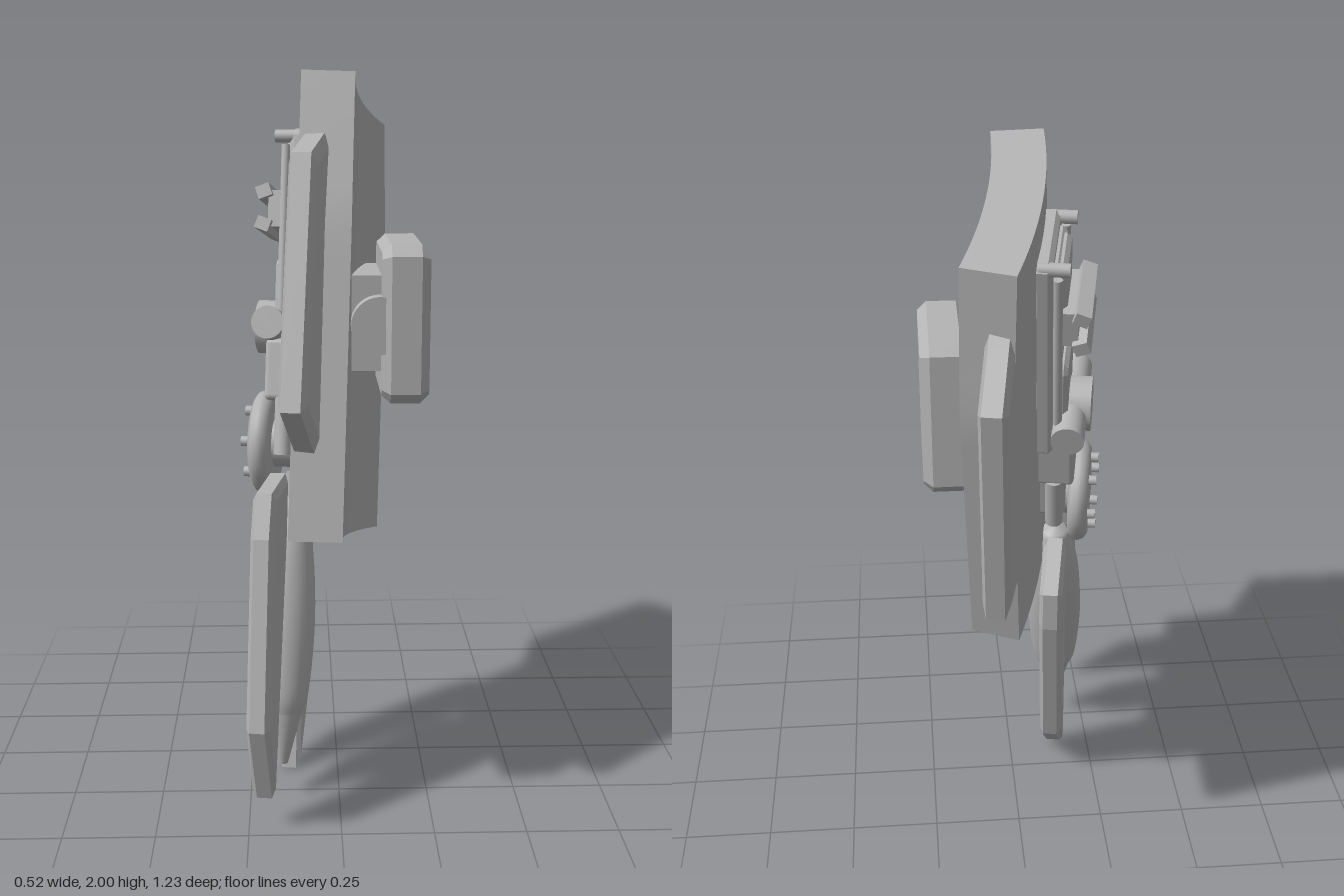
import * as THREE from 'three';
import { RoundedBoxGeometry } from 'three/addons/geometries/RoundedBoxGeometry.js';

const grey = new THREE.MeshStandardMaterial({ color: 0xb4b4b4 });
grey.name = 'grey';

function add(parent, name, geometry, x = 0, y = 0, z = 0) {
  const mesh = new THREE.Mesh(geometry, grey);
  mesh.name = name;
  mesh.position.set(x, y, z);
  parent.add(mesh);
  return mesh;
}

// Bevelled slab: outline in (z, y), filling x from xMin to xMax
function slab(points, xMin, xMax, size, thick) {
  const shape = new THREE.Shape(points.map(([z, y]) => new THREE.Vector2(z, y)));
  const geometry = new THREE.ExtrudeGeometry(shape, {
    depth: xMax - xMin - 2 * thick, bevelEnabled: true, bevelSegments: 1,
    bevelSize: size, bevelOffset: -size, bevelThickness: thick,
  });
  return geometry.rotateY(-Math.PI / 2).translate(xMax - thick, 0, 0);
}

// Rectangle outline with cut corners
function cutRect(w, h, c) {
  return [[-w + c, -h], [w - c, -h], [w, -h + c], [w, h - c],
    [w - c, h], [-w + c, h], [-w, h - c], [-w, -h + c]];
}

const cylX = (r, length, sides = 32) =>
  new THREE.CylinderGeometry(r, r, length, sides).rotateZ(Math.PI / 2);
const cylZ = (r, length, sides = 32) =>
  new THREE.CylinderGeometry(r, r, length, sides).rotateX(Math.PI / 2);

// Arched shell, narrowing towards the top
function shellGeometry() {
  const geometry = new THREE.BoxGeometry(1, 1, 1, 1, 12, 20);
  const p = geometry.attributes.position;
  for (let i = 0; i < p.count; i++) {
    const y = -0.576 + (p.getY(i) + 0.5) * 1.215;
    const half = y > 0.234 ? 0.388 - 0.05 * (y - 0.234) / 0.405 : 0.388 - 0.01 * (0.234 - y) / 0.81;
    const angle = 2 * p.getZ(i) * Math.asin(half / 1.95);
    const radius = p.getX(i) < 0 ? 1.95 : 1.81;
    p.setXYZ(i, 1.863 - radius * Math.cos(angle), y, 0.005 + radius * Math.sin(angle));
  }
  geometry.computeVertexNormals();
  return geometry;
}

function addPad(parent) {
  const pad = new THREE.Group();
  pad.name = 'armPad';
  pad.position.set(0, 1.328, -0.02);
  add(pad, 'padBlock', slab(cutRect(0.173, 0.219, 0.03), 0.12, 0.252, 0.022, 0.025));
  add(pad, 'padBracket', new THREE.BoxGeometry(0.11, 0.265, 0.27), 0.08, 0, -0.02);
  add(pad, 'padHinge', cylZ(0.08, 0.31), 0.115, 0, 0.005);
  parent.add(pad);
}

function addMechanism(parent) {
  const mech = new THREE.Group();
  mech.name = 'mechanism';
  parent.add(mech);

  // Layered back panel
  const panel = (name, w, h, y, xMin) =>
    add(mech, name, slab(cutRect(w, h, 0.02), xMin, -0.07, 0.012, 0.012), 0, y, 0);
  panel('panelBase', 0.14, 0.31, 0.225, -0.122);
  panel('panelRaised', 0.115, 0.28, 0.225, -0.142);
  panel('panelLower', 0.1, 0.13, 0.06, -0.16);
  panel('panelUpper', 0.09, 0.07, 0.43, -0.155);

  // Grooved grip bar across the panel
  add(mech, 'gripBase', new THREE.BoxGeometry(0.05, 0.1, 0.2), -0.16, 0.32, 0);
  for (const y of [0.275, 0.365]) {
    const bar = add(mech, 'gripBar', new THREE.BoxGeometry(0.04, 0.035, 0.24), -0.195, y, 0);
    bar.rotation.z = y > 0.3 ? 0.35 : -0.35;
  }

  // Corner pegs
  for (const side of [-1, 1]) {
    add(mech, 'cornerPeg', cylX(0.018, 0.08, 16), -0.125, 0.515, side * 0.12);
    add(mech, 'sideRail', new THREE.CylinderGeometry(0.012, 0.012, 0.46, 12), -0.135, 0.26, side * 0.125);
  }

  // Cross roller with central knob
  add(mech, 'roller', cylZ(0.045, 0.33), -0.165, 0, 0);
  add(mech, 'rollerKnob', cylX(0.075, 0.07), -0.185, 0, 0);

  // Housing between the roller and the wheel
  add(mech, 'housing', new RoundedBoxGeometry(0.11, 0.17, 0.23, 2, 0.015), -0.125, -0.125, 0);
  add(mech, 'housingLower', new RoundedBoxGeometry(0.09, 0.16, 0.18, 2, 0.015), -0.11, -0.27, 0);
  for (const side of [-1, 1]) {
    add(mech, 'housingLeg', new THREE.CylinderGeometry(0.025, 0.025, 0.16, 16), -0.125, -0.28, side * 0.1);
  }

  // Round-edged wheel with a ring of studs
  const profile = [[0, -0.028], [0.125, -0.028], [0.14, -0.018], [0.147, 0],
    [0.14, 0.018], [0.125, 0.028], [0, 0.028]].map(([r, y]) => new THREE.Vector2(r, y));
  add(mech, 'wheel', new THREE.LatheGeometry(profile, 40).rotateZ(Math.PI / 2), -0.192, -0.325, 0);
  add(mech, 'wheelAxle', cylX(0.07, 0.13), -0.125, -0.325, 0);
  for (let i = 0; i < 6; i++) {
    const a = (i + 0.5) * Math.PI / 3;
    add(mech, 'wheelStud', cylX(0.014, 0.03, 12),
      -0.227, -0.325 + 0.098 * Math.cos(a), 0.098 * Math.sin(a));
  }
}

export function createModel() {
  const model = new THREE.Group();
  model.name = 'armShield';

  // Leaning frame that holds everything but the pad
  const body = new THREE.Group();
  body.name = 'shieldBody';
  body.position.set(0, 1.3, 0);
  body.rotation.set(-0.246, -0.183, -0.035, 'XZY');
  model.add(body);

  add(body, 'shell', shellGeometry());

  const fin = [[0.25, 0.52], [0.376, 0.462], [0.536, 0.387], [0.587, -0.252], [0.385, -0.345], [0.25, -0.4]];
  const spike = [[0.12, -0.41], [0.3, -0.46], [0.322, -0.58], [0.308, -1.087], [0.18, -1.286], [0.112, -0.58]];
  for (const side of [-1, 1]) {
    const mirror = (points) => points.map(([z, y]) => [z * side, y]);
    add(body, 'sideFin', slab(mirror(fin), -0.052, 0.022, 0.035, 0.012));
    add(body, 'lowerSpike', slab(mirror(spike), -0.165, -0.1, 0.022, 0.012));
  }

  // Pointed pod between the spikes
  const podCurve = new THREE.SplineCurve([[0.05, -1.09], [0.068, -1.03], [0.08, -0.88], [0.079, -0.74],
    [0.066, -0.6], [0.035, -0.49]].map(([r, y]) => new THREE.Vector2(r, y)));
  const podProfile = [new THREE.Vector2(0, -1.23), new THREE.Vector2(0.016, -1.23),
    ...podCurve.getPoints(20), new THREE.Vector2(0, -0.48)];
  add(body, 'pod', new THREE.LatheGeometry(podProfile, 32), -0.12, 0, 0);

  addMechanism(body);
  addPad(model);
  return model;
}
